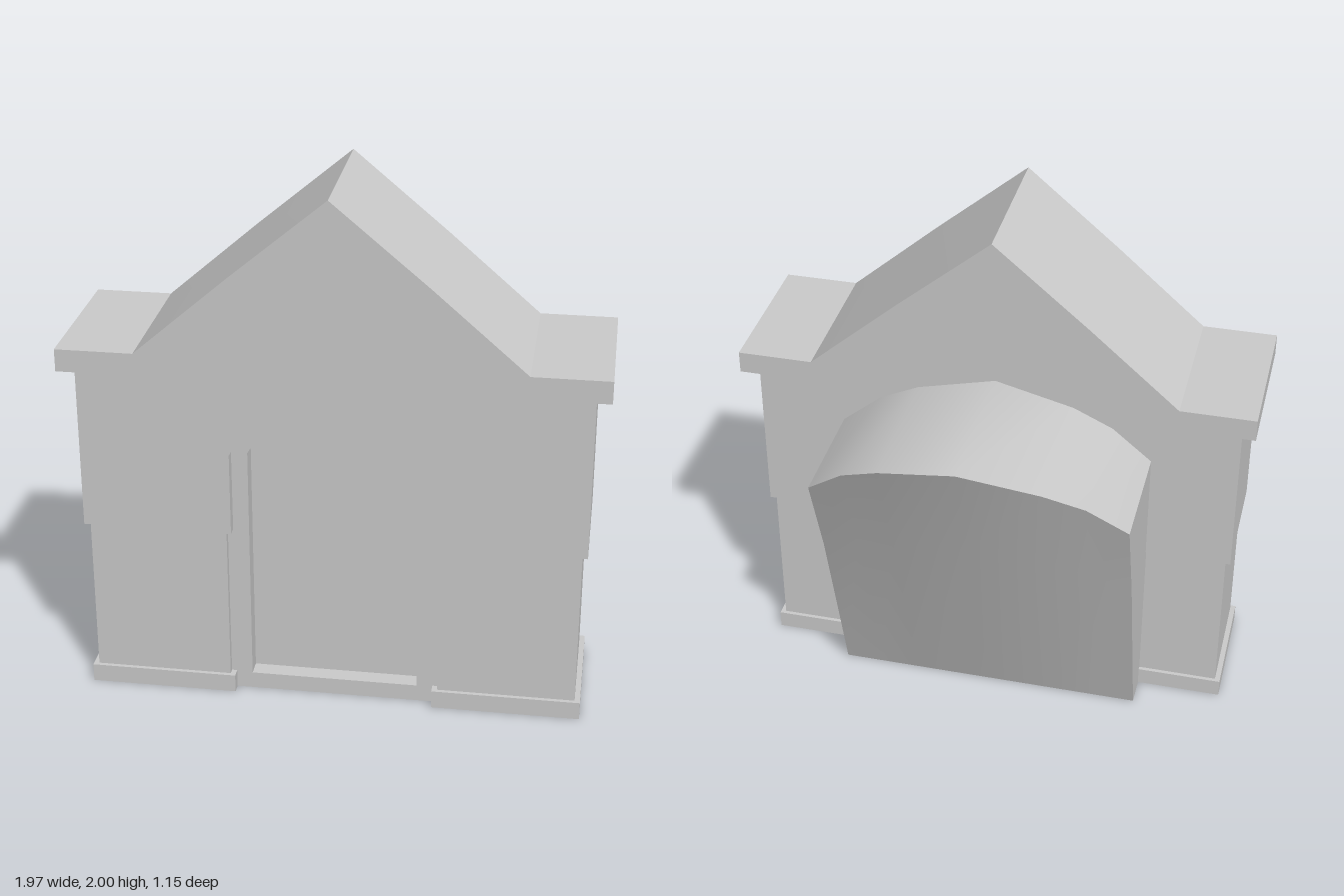
import * as THREE from 'three';
import { toCreasedNormals } from 'three/addons/utils/BufferGeometryUtils.js';

const material = new THREE.MeshStandardMaterial({ color: 0xcccccc, side: THREE.DoubleSide });

// Mirror a right-hand outline (bottom to apex on x = 0) into a full symmetric one
const mirror = (half) => [...half, ...half.slice(0, -1).reverse().map(([x, ...rest]) => [-x, ...rest])];
const toPoints = (pts) => pts.map(([x, y]) => new THREE.Vector2(x, y));

// Flat outline pushed from z0 to z1
function slab(outline, z0, z1, hole) {
  const shape = new THREE.Shape(toPoints(outline));
  if (hole) shape.holes.push(new THREE.Path(toPoints(hole)));
  const geo = new THREE.ExtrudeGeometry(shape, { depth: z1 - z0, bevelEnabled: false });
  return toCreasedNormals(geo.translate(0, 0, z0), 0.35);
}

// Skin over rows of [x, y, z] points
function skin(rows, closed = false) {
  const n = rows[0].length;
  const index = [];
  for (let r = 0; r < rows.length - 1; r++) {
    for (let i = 0; i < (closed ? n : n - 1); i++) {
      const a = r * n + i, b = r * n + (i + 1) % n;
      index.push(a, b, b + n, a, b + n, a + n);
    }
  }
  const geo = new THREE.BufferGeometry();
  geo.setAttribute('position', new THREE.Float32BufferAttribute(rows.flat(2), 3));
  geo.setIndex(index);
  return toCreasedNormals(geo, 0.6);
}

export function createModel() {
  const model = new THREE.Group();
  const add = (name, geo) => {
    const mesh = new THREE.Mesh(geo, material);
    mesh.name = name;
    model.add(mesh);
  };

  const outerArch = [[0.375, 1], [0.28, 1.175], [0.18, 1.275], [0, 1.385]];
  const innerArch = [[0.315, 0.995], [0.238, 1.13], [0.153, 1.24], [0, 1.315]];

  // Gabled upper wall with a pointed arch cut from its underside
  const gable = mirror([[0.93, 0.68], [0.93, 1.32], [0.66, 1.32], [0, 1.89]]);
  const notch = mirror([[0.375, 0.68], ...outerArch]).reverse();
  add('upperWall', slab([...gable, ...notch], 0.04, 0.525));

  // Roof band following the gable
  const roofTop = mirror([[0.985, 1.315], [0.985, 1.4], [0.7, 1.4], [0.36, 1.697], [0, 2]]);
  const roofUnder = mirror([[0.665, 1.315], [0, 1.885]]).reverse();
  add('roof', slab([...roofTop, ...roofUnder], -0.02, 0.575));

  // Hollow pillars with a wider plinth
  const ring = (side, y, x0, x1, z0, z1) => {
    const [lo, hi] = side > 0 ? [x0, x1] : [-x1, -x0];
    return [[hi, y, z1], [hi, y, z0], [lo, y, z0], [lo, y, z1]];
  };
  for (const side of [1, -1]) {
    const wide = [0.375, 0.93, 0.04, 0.525];
    const slim = [0.395, 0.91, 0.055, 0.51];
    add(side > 0 ? 'leftPillar' : 'rightPillar', skin([
      ring(side, 0, ...wide), ring(side, 0.07, ...wide),
      ring(side, 0.07, ...slim), ring(side, 0.68, ...slim),
    ], true));
  }

  // Door frame and recessed door panel
  const frame = mirror([[0.395, 0], [0.395, 0.68], [0.375, 0.68], ...outerArch]);
  const opening = mirror([[0.315, 0.065], ...innerArch]);
  add('doorFrame', slab(frame, 0.42, 0.485, opening));
  const panel = new THREE.ShapeGeometry(new THREE.Shape(toPoints(opening)));
  add('doorPanel', panel.translate(0, 0, 0.42));

  // Rear hood: a bowed, sloping back under an arched shell, open below
  const top = mirror([[0.6, 1.115, -0.415], [0.45, 1.24, -0.475], [0.3, 1.31, -0.522], [0, 1.385, -0.575]]);
  const bottom = top.map(([x]) => [x, 0, -0.075]);
  const middle = top.map(([x, y, z]) => [x, y * 0.672, -0.285 + (z + 0.415) * 0.79]);
  add('hoodBack', skin([bottom, middle, top]));
  const last = top.length - 1;
  const rim = [bottom[0], middle[0], ...top, middle[last], bottom[last]];
  add('hoodShell', skin([rim, rim.map(([x, y]) => [x, y, 0.055])]));

  return model;
}
